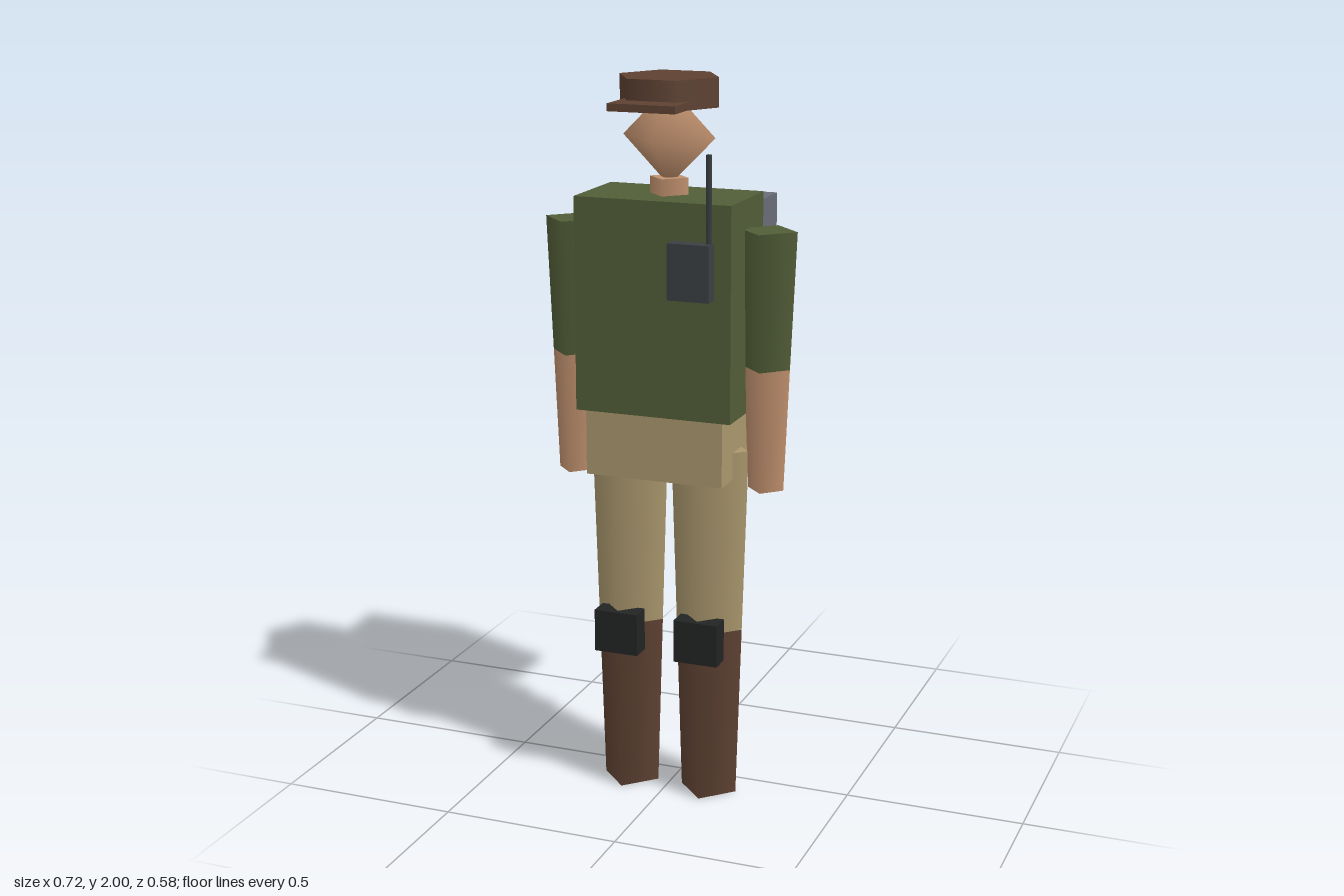
import * as THREE from 'three';

const mat = (name, color) => {
  const m = new THREE.MeshStandardMaterial({ color });
  m.name = name;
  return m;
};

export function createModel() {
  const olive = mat('olive cloth', 0x525e38);
  const khaki = mat('khaki cloth', 0xab986e);
  const brown = mat('brown leather', 0x5f4233);
  const skin = mat('skin', 0xc2926f);
  const grey = mat('grey canvas', 0x6a6e78);
  const black = mat('black rubber', 0x232424);
  const charcoal = mat('charcoal plastic', 0x3c4042);

  const model = new THREE.Group();
  model.name = 'soldier';
  const bodyZ = 0.091;

  const add = (name, geometry, material, x, y, z) => {
    const mesh = new THREE.Mesh(geometry, material);
    mesh.name = name;
    mesh.position.set(x, y, z);
    model.add(mesh);
    return mesh;
  };
  // Box given by its lowest and highest corners
  const box = (name, material, [x0, y0, z0], [x1, y1, z1]) =>
    add(name, new THREE.BoxGeometry(x1 - x0, y1 - y0, z1 - z0), material,
      (x0 + x1) / 2, (y0 + y1) / 2, (z0 + z1) / 2);
  // Upright tapered column between two heights
  const column = (name, material, x, z, y0, y1, r0, r1, sides = 4) =>
    add(name, new THREE.CylinderGeometry(r1, r0, y1 - y0, sides), material, x, (y0 + y1) / 2, z);

  // Trunk
  box('torso', olive, [-0.22, 1.11, -0.035], [0.22, 1.69, 0.218]);
  box('hips', khaki, [-0.195, 0.93, -0.022], [0.195, 1.11, 0.21]);
  box('backpack', grey, [-0.173, 1.16, -0.29], [0.173, 1.645, -0.083]);

  // Neck, head and cap
  column('neck', skin, 0, bodyZ, 1.66, 1.735, 0.054, 0.054);
  add('head', new THREE.SphereGeometry(0.13, 4, 2), skin, 0, 1.842, bodyZ);
  column('cap', brown, 0, bodyZ, 1.922, 2, 0.139, 0.139, 6).rotation.y = Math.PI / 2;
  box('capBrim', brown, [-0.093, 1.925, 0.13], [0.093, 1.945, 0.288]);

  // Limbs, mirrored on both sides
  for (const [side, s] of [['left', 1], ['right', -1]]) {
    const armX = s * 0.278, legX = s * 0.117;
    column(side + 'Sleeve', olive, armX, bodyZ, 1.24, 1.61, 0.064, 0.08);
    column(side + 'Forearm', skin, armX, bodyZ, 0.905, 1.24, 0.05, 0.064);
    column(side + 'Thigh', khaki, legX, bodyZ, 0.49, 1.005, 0.096, 0.112);
    column(side + 'Boot', brown, legX, bodyZ, 0, 0.49, 0.081, 0.096);
    box(side + 'KneePad', black, [legX - 0.063, 0.415, 0.145], [legX + 0.063, 0.535, 0.203]);
  }

  // Chest radio with a thin aerial
  box('radio', charcoal, [0.058, 1.44, 0.21], [0.174, 1.59, 0.259]);
  column('radioAerial', charcoal, 0.163, 0.23, 1.56, 1.82, 0.009, 0.009, 3).rotation.y = Math.PI / 2;

  return model;
}
